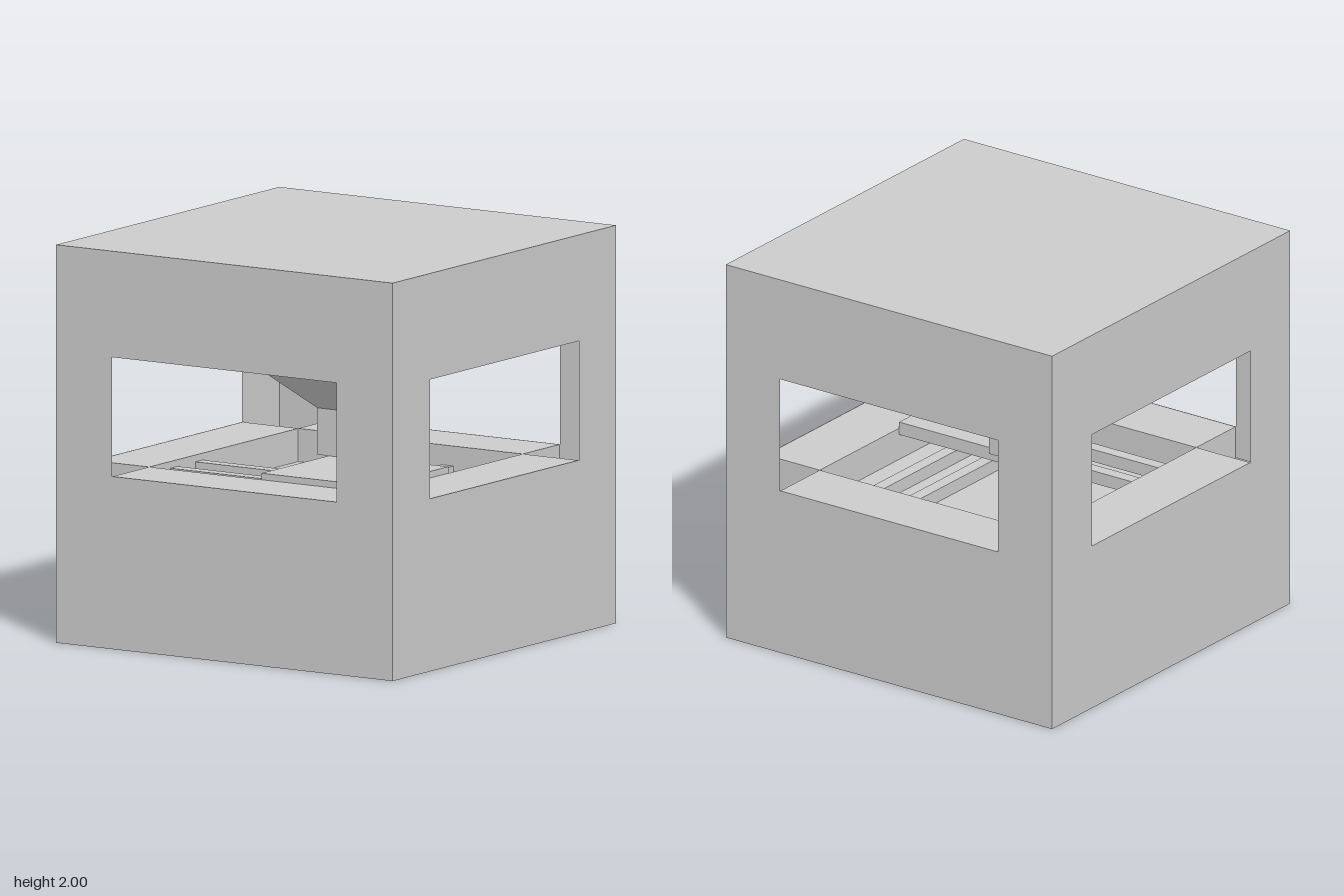
import * as THREE from 'three';

const material = new THREE.MeshStandardMaterial({ color: 0xcccccc, flatShading: true, side: THREE.DoubleSide });

export function createModel() {
  const model = new THREE.Group();
  const OPEN = 0.667, SILL = 0.867, HEAD = 1.467, FLOOR = 0.7;

  const add = (name, geometry, x = 0, y = 0, z = 0) => {
    const mesh = new THREE.Mesh(geometry, material);
    mesh.name = name;
    mesh.position.set(x, y, z);
    model.add(mesh);
    return mesh;
  };
  // box given by its lower and upper limits
  const box = (name, x0, x1, y0, y1, z0, z1) => add(name,
    new THREE.BoxGeometry(x1 - x0, y1 - y0, z1 - z0),
    (x0 + x1) / 2, (y0 + y1) / 2, (z0 + z1) / 2);
  const level = (name, y) => {
    add(name, new THREE.PlaneGeometry(2, 2).rotateX(-Math.PI / 2), 0, y, 0);
  };

  // thin outer walls, each with a window opening
  const wall = new THREE.Shape();
  wall.moveTo(-1, 0).lineTo(1, 0).lineTo(1, 2).lineTo(-1, 2).closePath();
  const opening = new THREE.Path();
  opening.moveTo(-OPEN, SILL).lineTo(-OPEN, HEAD).lineTo(OPEN, HEAD).lineTo(OPEN, SILL).closePath();
  wall.holes.push(opening);
  const wallGeometry = new THREE.ShapeGeometry(wall).translate(0, 0, 1);
  ['front', 'left', 'back', 'right'].forEach((side, i) => {
    add(side + 'Wall', wallGeometry).rotation.y = i * Math.PI / 2;

    // ledge behind each window, leaving the corners open
    const ledge = new THREE.BoxGeometry(2 * OPEN, SILL - FLOOR, 0.33);
    ledge.translate(0, (SILL + FLOOR) / 2, 0.832);
    add(side + 'Ledge', ledge).rotation.y = i * Math.PI / 2;
  });

  // horizontal surfaces
  level('underside', 0);
  level('floor', FLOOR);
  level('ceiling', HEAD);
  level('roof', 2);

  // two crossing layers of bars under the corner slab
  for (const c of [0.222, 0.444]) {
    box('lowerBar', c - 0.033, c + 0.033, FLOOR, 0.767, -OPEN, OPEN);
    box('upperBar', -OPEN, OPEN, 0.767, 0.833, c - 0.033, c + 0.033);
  }
  box('slab', 0, OPEN, 0.833, 0.9, 0, OPEN);

  // hanging square funnel with its spout, collar and flange
  const square = (name, half, y0, y1) => box(name, -half, half, y0, y1, -half, half);
  square('spout', 0.067, 0.9, 1.135);
  const cone = new THREE.CylinderGeometry(0.267 * Math.SQRT2, 0.067 * Math.SQRT2, 0.198, 4);
  add('funnel', cone.rotateY(Math.PI / 4), 0, 1.234, 0);
  square('collar', 0.267, 1.333, HEAD);
  square('flange', 0.4, 1.367, 1.433);

  return model;
}
